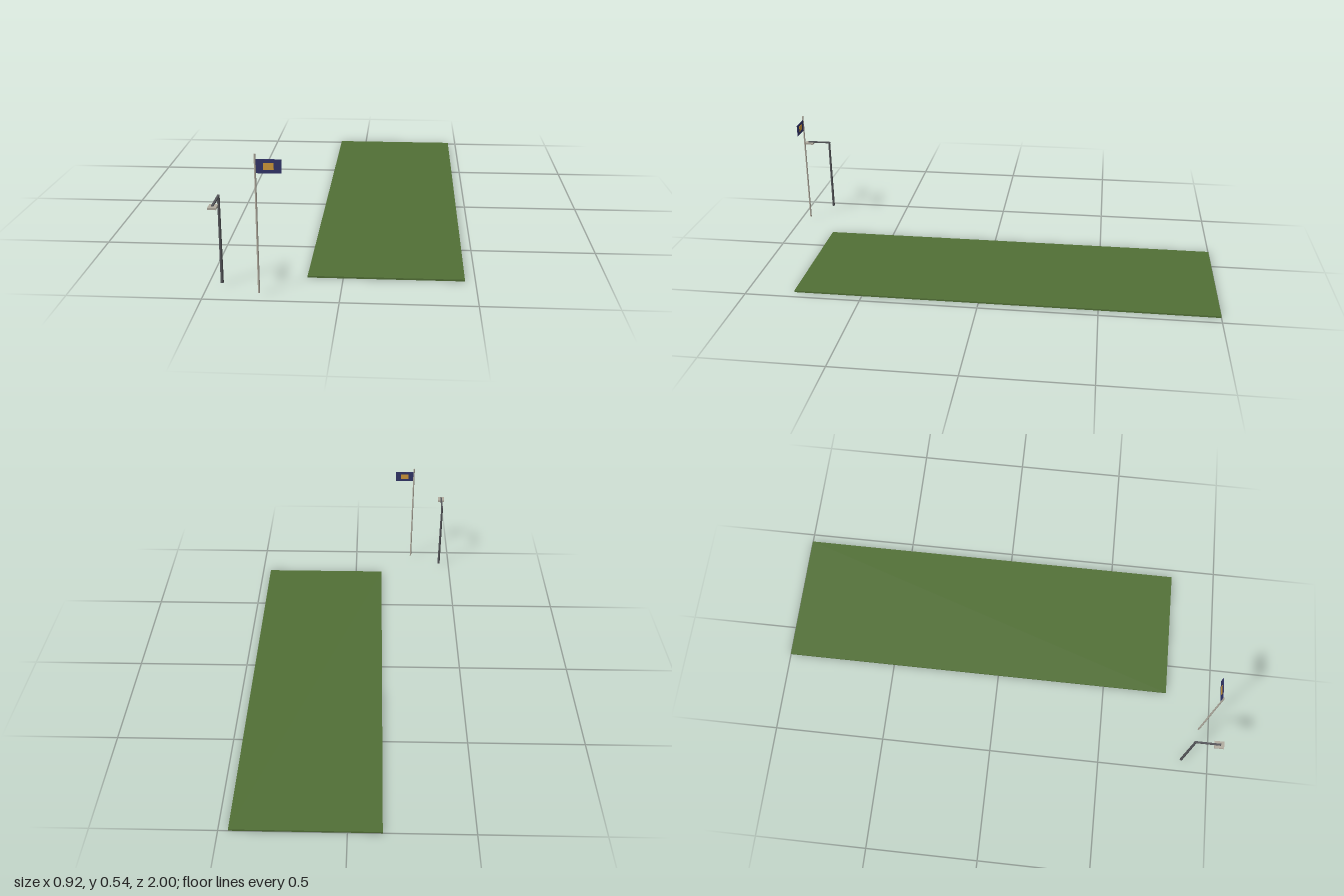
import * as THREE from 'three';

const material = (name, color, side = THREE.FrontSide) => {
  const m = new THREE.MeshStandardMaterial({ color, side });
  m.name = name;
  return m;
};

export function createModel() {
  const grass = material('grass green', 0x527036);
  const darkMetal = material('dark metal', 0x55565a);
  const paleMetal = material('pale metal', 0xb2ada0);
  const navy = material('flag navy', 0x33366a);
  const gold = material('emblem gold', 0xd49b3a);

  const model = new THREE.Group();
  model.name = 'fieldWithLampAndFlag';

  const add = (parent, name, geometry, mat, x, y, z) => {
    const mesh = new THREE.Mesh(geometry, mat);
    mesh.name = name;
    mesh.position.set(x, y, z);
    parent.add(mesh);
    return mesh;
  };
  const group = (name, x, z) => {
    const g = new THREE.Group();
    g.name = name;
    g.position.set(x, 0, z);
    model.add(g);
    return g;
  };

  // Flat lawn slab
  add(model, 'lawn', new THREE.BoxGeometry(0.596, 0.007, 1.795), grass, 0.162, 0.0035, -0.1025);

  // Street lamp: post, arm reaching forward, flat head below its tip
  const lamp = group('streetLamp', -0.447, 0.879);
  add(lamp, 'lampPost', new THREE.CylinderGeometry(0.005, 0.006, 0.347, 12), darkMetal, 0, 0.1835, 0);
  add(lamp, 'lampArm', new THREE.BoxGeometry(0.008, 0.006, 0.112), darkMetal, 0, 0.355, 0.051);
  add(lamp, 'lampHead', new THREE.BoxGeometry(0.031, 0.008, 0.041), paleMetal, 0, 0.349, 0.1005);

  // Flagpole with a thin flag and an emblem on both faces
  const flag = group('flagpole', -0.2965, 0.954);
  add(flag, 'pole', new THREE.CylinderGeometry(0.0035, 0.004, 0.53, 12), paleMetal, 0, 0.275, 0);
  add(flag, 'flagCloth', new THREE.BoxGeometry(0.09, 0.052, 0.002), navy, 0.0485, 0.4955, 0);
  for (const side of [1, -1]) {
    add(flag, side > 0 ? 'emblemFront' : 'emblemBack',
      new THREE.BoxGeometry(0.038, 0.025, 0.001), gold, 0.0475, 0.4955, side * 0.0014);
  }

  return model;
}
